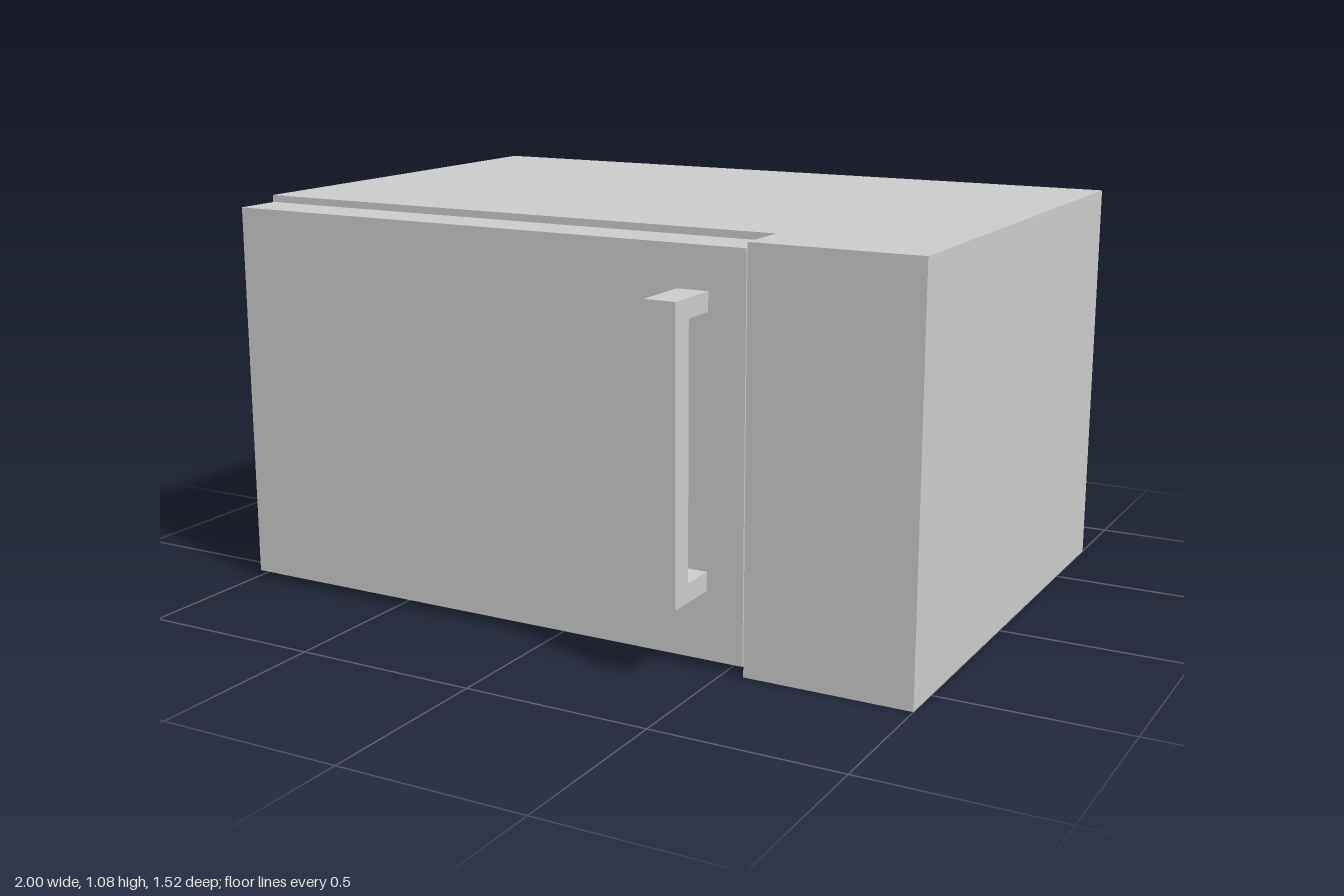
import * as THREE from 'three';

const material = new THREE.MeshStandardMaterial({ color: 0xcccccc });

function extrude(points, depth) {
  const shape = new THREE.Shape(points.map(([x, y]) => new THREE.Vector2(x, y)));
  return new THREE.ExtrudeGeometry(shape, { depth, bevelEnabled: false });
}

function addPart(group, name, geometry) {
  const mesh = new THREE.Mesh(geometry, material);
  mesh.name = name;
  group.add(mesh);
  return mesh;
}

export function createModel() {
  const group = new THREE.Group();
  group.name = 'microwaveOven';

  // Casing: L-shaped footprint (x, -z) raised upward, with the control panel standing proud
  const casing = extrude([
    [-1, -0.46], [0.555, -0.46], [0.555, -0.615], [1, -0.615], [1, 0.762], [-1, 0.762],
  ], 1.078);
  casing.rotateX(-Math.PI / 2);
  addPart(group, 'casing', casing);

  // Door: slab set into the recess with a thin gap all round
  const door = addPart(group, 'door', new THREE.BoxGeometry(1.535, 1.04, 0.132));
  door.position.set(-0.2225, 0.54, 0.534);

  // Handle: C-shaped side profile (z, y) swept across x
  const handle = extrude([
    [0.6, 0.2], [0.762, 0.2], [0.762, 0.95], [0.6, 0.95],
    [0.6, 0.9], [0.698, 0.9], [0.698, 0.25], [0.6, 0.25],
  ], 0.085);
  handle.rotateY(-Math.PI / 2);
  addPart(group, 'doorHandle', handle).position.x = 0.445;

  return group;
}
